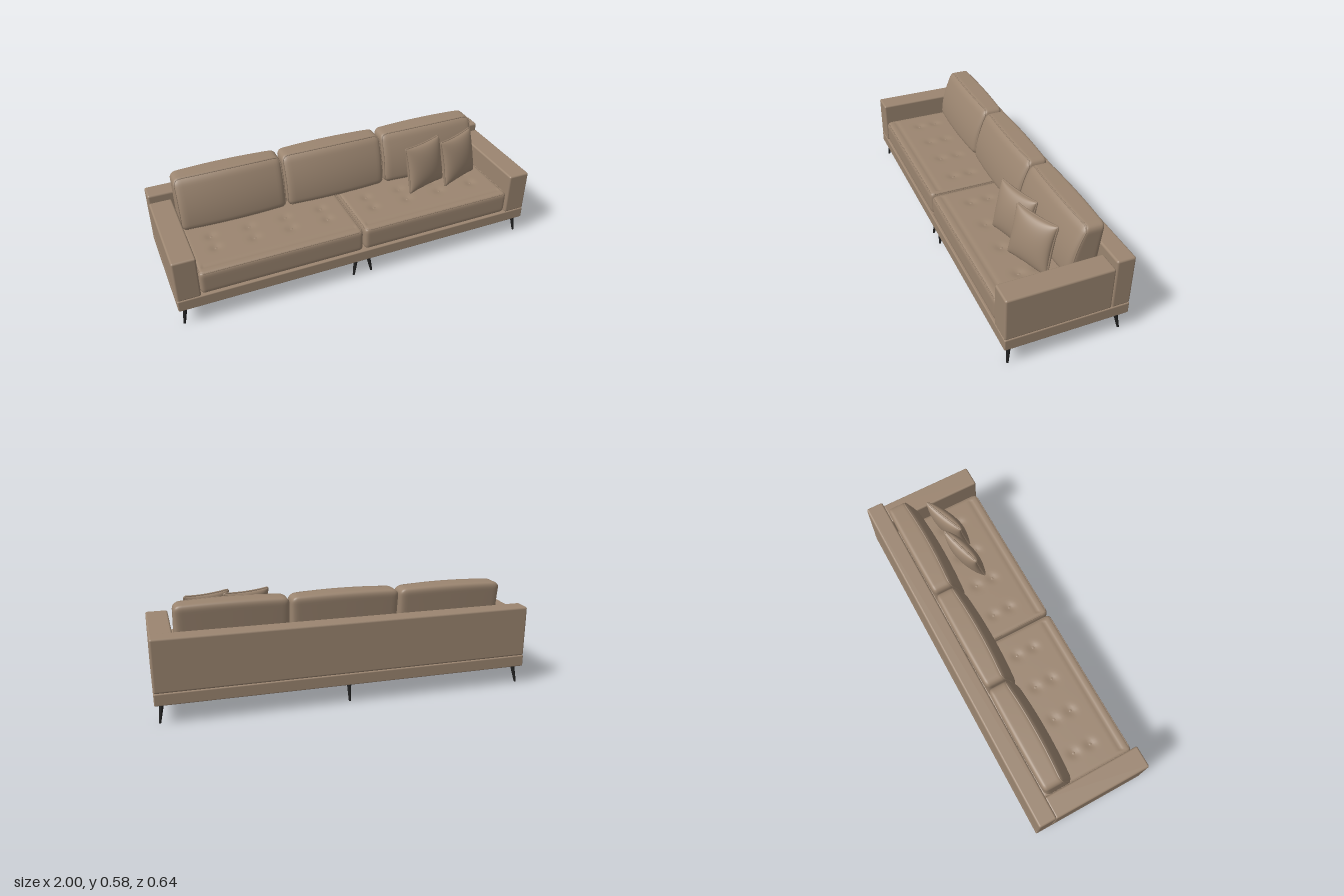
import * as THREE from 'three';
import { mergeVertices } from 'three/addons/utils/BufferGeometryUtils.js';
import { RoundedBoxGeometry } from 'three/addons/geometries/RoundedBoxGeometry.js';

const fabric = new THREE.MeshStandardMaterial({ color: 0x9b8570 });
fabric.name = 'taupe fabric';
const legBlack = new THREE.MeshStandardMaterial({ color: 0x202020 });
legBlack.name = 'black legs';

function add(parent, name, geometry, material = fabric) {
  const mesh = new THREE.Mesh(geometry, material);
  mesh.name = name;
  parent.add(mesh);
  return mesh;
}

// Moves every vertex by a rule and gives the surface smooth normals.
function reshape(geometry, rule) {
  geometry.deleteAttribute('uv');
  geometry.deleteAttribute('normal');
  const merged = mergeVertices(geometry, 1e-5);
  const pos = merged.attributes.position;
  const p = new THREE.Vector3();
  for (let i = 0; i < pos.count; i++) {
    rule(p.fromBufferAttribute(pos, i));
    pos.setXYZ(i, p.x, p.y, p.z);
  }
  merged.computeVertexNormals();
  return merged;
}

// Finely divided box with round edges, then bent by a warp rule.
function softBox(w, h, d, r, segments, warp) {
  const half = new THREE.Vector3(w / 2, h / 2, d / 2);
  const inner = half.clone().subScalar(r);
  const low = inner.clone().negate();
  return reshape(new THREE.BoxGeometry(w, h, d, ...segments), p => {
    for (const a of ['x', 'y', 'z']) {
      const t = p[a] / half[a];
      p[a] = Math.sign(t) * (1 - Math.pow(Math.max(0, 1 - Math.abs(t)), 1.5)) * half[a];
    }
    const core = p.clone().clamp(low, inner);
    p.sub(core).setLength(r).add(core);
    warp(p);
  });
}

// Piping cord through a closed loop of points.
function cord(points, radius, samples = 160) {
  const curve = new THREE.CatmullRomCurve3(points, true, 'centripetal');
  return new THREE.TubeGeometry(curve, samples, radius, 6, true);
}

// Points round a rectangle with round corners.
function roundedLoop(w, h, r) {
  const points = [];
  const corners = [[1, 1], [-1, 1], [-1, -1], [1, -1]];
  corners.forEach(([sx, sy], k) => {
    for (let i = 0; i <= 4; i++) {
      const a = (k + i / 4) * Math.PI / 2;
      points.push([sx * (w / 2 - r) + r * Math.cos(a), sy * (h / 2 - r) + r * Math.sin(a)]);
    }
    const [nx, ny] = corners[(k + 1) % 4];
    const last = points[points.length - 1];
    const next = (k + 1) * Math.PI / 2;
    const end = [nx * (w / 2 - r) + r * Math.cos(next), ny * (h / 2 - r) + r * Math.sin(next)];
    for (let i = 1; i < 6; i++) {
      points.push([last[0] + (end[0] - last[0]) * i / 6, last[1] + (end[1] - last[1]) * i / 6]);
    }
  });
  return points;
}

function box(parent, name, x0, x1, y0, y1, z0, z1, r) {
  const mesh = add(parent, name, new RoundedBoxGeometry(x1 - x0, y1 - y0, z1 - z0, 4, r));
  mesh.position.set((x0 + x1) / 2, (y0 + y1) / 2, (z0 + z1) / 2);
}

// Seat cushion with two rows of tufted buttons and a stitched front groove.
function seatCushion(x) {
  const group = new THREE.Group();
  group.name = 'seatCushion';
  const w = 0.872, h = 0.13, d = 0.535, r = 0.022;
  const tufts = [];
  for (const tx of [-0.305, -0.1, 0.1, 0.305]) for (const tz of [-0.01, 0.09]) tufts.push([tx, tz]);
  const warp = p => {
    if (p.y < h / 2 - r) return;
    for (const [tx, tz] of tufts) {
      p.y -= 0.009 * Math.exp(-((p.x - tx) ** 2 + (p.z - tz) ** 2) / 0.0006);
    }
    if (Math.abs(p.x) < 0.41) p.y -= 0.004 * Math.exp(-((p.z - 0.215) ** 2) / 0.0001);
  };
  add(group, 'seatPad', softBox(w, h, d, r, [72, 10, 48], warp));
  const loop = roundedLoop(w - r * 0.58, d - r * 0.58, r)
    .map(([px, pz]) => new THREE.Vector3(px, h / 2 - r * 0.29, pz));
  add(group, 'seatPiping', cord(loop, 0.003));
  for (const [tx, tz] of tufts) {
    const button = add(group, 'tuftButton', new THREE.SphereGeometry(0.009, 12, 8));
    button.scale.y = 0.35;
    button.position.set(tx, h / 2 - 0.009, tz);
  }
  group.position.set(x, 0.231, 0.048);
  return group;
}

// Back cushion with a leaning front, crowned top and front piping.
function backCushion(x) {
  const group = new THREE.Group();
  group.name = 'backCushion';
  const w = 0.576, h = 0.278, d = 0.17, r = 0.032;
  const warp = p => {
    const v = p.y / h + 0.5;
    const u = 2 * p.x / w;
    const front = -0.034 - 0.078 * v * v - 0.014 * u * u;
    const back = -0.205 - 0.03 * v + 0.005 * u * u;
    const t = p.z / d + 0.5;
    p.z = back + (front - back) * t;
    p.y += 0.432 + 0.008 * v * (1 - u * u) - 0.003 * v;
  };
  add(group, 'backPad', softBox(w, h, d, r, [28, 24, 18], warp));
  const loop = roundedLoop(w - r * 0.2, h - r * 0.2, r).map(([px, py]) => {
    const p = new THREE.Vector3(px, py, d / 2 - r * 0.55);
    warp(p);
    return p;
  });
  add(group, 'backPiping', cord(loop, 0.004));
  group.position.x = x;
  return group;
}

// Throw pillow: puffed in the middle, pinched to a corded edge with pointed corners.
function throwPillow(x, z, turn) {
  const group = new THREE.Group();
  group.name = 'throwPillow';
  const w = 0.255, h = 0.262;
  const outline = (u, v) => [
    u * w / 2 * (1 - 0.06 * (1 - v * v)),
    v * h / 2 * (1 - 0.06 * (1 - u * u)),
  ];
  add(group, 'pillowPad', reshape(new THREE.BoxGeometry(2, 2, 2, 28, 28, 1), p => {
    const u = Math.sin(p.x * Math.PI / 2), v = Math.sin(p.y * Math.PI / 2);
    const puff = Math.pow(Math.max(0, (1 - u * u) * (1 - v * v)), 0.42);
    const [px, py] = outline(u, v);
    p.set(px, py, Math.sign(p.z) * (0.003 + 0.046 * puff));
  }));
  const loop = roundedLoop(2, 2, 0.06).map(([u, v]) => new THREE.Vector3(...outline(u, v), 0));
  add(group, 'pillowPiping', cord(loop, 0.005));
  group.rotation.set(-0.22, turn, 0, 'YXZ');
  group.position.set(x, 0.432, z);
  return group;
}

// Tapered leg from a point under the base to a foot on the floor.
function leg(parent, x0, z0, x1, z1) {
  const g = new THREE.CylinderGeometry(0.0125, 0.006, 0.105, 16, 1);
  g.translate(0, 0.0525, 0);
  const pos = g.attributes.position;
  for (let i = 0; i < pos.count; i++) {
    const t = pos.getY(i) / 0.105;
    pos.setX(i, pos.getX(i) + x1 + (x0 - x1) * t);
    pos.setZ(i, pos.getZ(i) + z1 + (z0 - z1) * t);
  }
  g.computeVertexNormals();
  add(parent, 'leg', g, legBlack);
}

export function createModel() {
  const sofa = new THREE.Group();
  sofa.name = 'sofa';

  // Frame
  box(sofa, 'base', -1, 1, 0.102, 0.165, -0.32, 0.32, 0.006);
  box(sofa, 'backrest', -1, 1, 0.165, 0.443, -0.32, -0.222, 0.011);
  for (const s of [-1, 1]) {
    box(sofa, s > 0 ? 'leftArm' : 'rightArm',
      s > 0 ? 0.88 : -1, s > 0 ? 1 : -0.88, 0.165, 0.402, -0.222, 0.32, 0.01);
  }

  // Cushions
  for (const x of [-0.441, 0.441]) sofa.add(seatCushion(x));
  for (const x of [-0.585, 0, 0.585]) sofa.add(backCushion(x));
  sofa.add(throwPillow(0.487, 0.048, 0.28), throwPillow(0.697, 0.052, 0.36));

  // Legs: four corners, a front pair and one at the back centre
  for (const s of [-1, 1]) {
    leg(sofa, s * 0.962, 0.283, s * 0.979, 0.295);
    leg(sofa, s * 0.962, -0.268, s * 0.979, -0.288);
    leg(sofa, s * 0.034, 0.283, s * 0.052, 0.295);
  }
  leg(sofa, 0, -0.268, 0, -0.288);

  return sofa;
}
